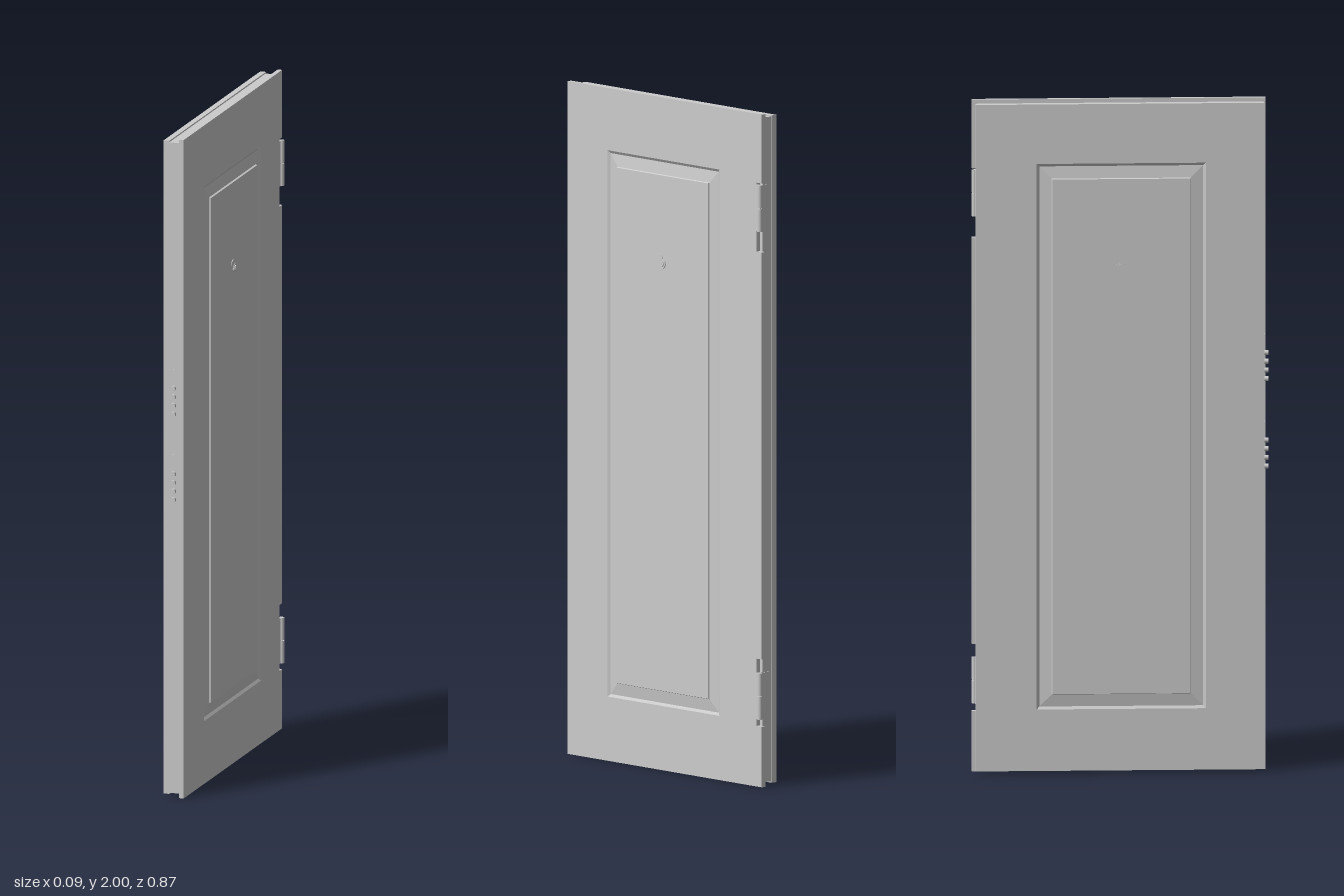
import * as THREE from 'three';

const grey = new THREE.MeshStandardMaterial({ color: 0xcccccc, side: THREE.DoubleSide });
const PANEL = { y: 1.003, w: 0.249, h: 0.812 };

function add(parent, name, geometry, x = 0, y = 0, z = 0) {
  const mesh = new THREE.Mesh(geometry, grey);
  mesh.name = name;
  mesh.position.set(x, y, z);
  parent.add(mesh);
  return mesh;
}

// Box given by its lower and upper corners
function boxBetween(parent, name, [x0, y0, z0], [x1, y1, z1]) {
  return add(parent, name, new THREE.BoxGeometry(x1 - x0, y1 - y0, z1 - z0),
    (x0 + x1) / 2, (y0 + y1) / 2, (z0 + z1) / 2);
}

// Flat door skin with a rectangular opening for the raised panel
function skinGeometry(outline, depth) {
  const shape = new THREE.Shape(outline.map(p => new THREE.Vector2(...p)));
  const { y, w, h } = PANEL;
  shape.holes.push(new THREE.Path([[-w, y - h], [-w, y + h], [w, y + h], [w, y - h]]
    .map(p => new THREE.Vector2(...p))));
  return new THREE.ExtrudeGeometry(shape, { depth, bevelEnabled: false });
}

// Raised panel: nested rectangles [inset, height] joined by sloping strips
function panelGeometry(rings) {
  const pos = [];
  const corners = rings.map(([inset, d]) => {
    const w = PANEL.w - inset, h = PANEL.h - inset;
    return [[-w, -h, d], [w, -h, d], [w, h, d], [-w, h, d]];
  });
  const quad = (a, b, c, d) => pos.push(...a, ...b, ...c, ...a, ...c, ...d);
  for (let i = 0; i < corners.length - 1; i++) {
    for (let k = 0; k < 4; k++) {
      const n = (k + 1) % 4;
      quad(corners[i][k], corners[i][n], corners[i + 1][n], corners[i + 1][k]);
    }
  }
  quad(...corners[corners.length - 1]);
  const geometry = new THREE.BufferGeometry();
  geometry.setAttribute('position', new THREE.Float32BufferAttribute(pos, 3));
  geometry.computeVertexNormals();
  return geometry;
}

// Short cylinder lying along x
function disc(parent, name, radius, x0, x1, y, z) {
  const g = new THREE.CylinderGeometry(radius, radius, Math.abs(x1 - x0), 20).rotateZ(Math.PI / 2);
  return add(parent, name, g, (x0 + x1) / 2, y, z);
}

function makeHinge(yMid) {
  const hinge = new THREE.Group();
  hinge.name = 'hinge';
  for (const s of [-1, 1]) {
    add(hinge, 'hingeKnuckle', new THREE.CylinderGeometry(0.008, 0.008, 0.068, 16), 0.033, yMid + s * 0.035, -0.429);
  }
  boxBetween(hinge, 'hingeLeaf', [-0.005, yMid - 0.069, -0.427], [0.033, yMid + 0.069, -0.422]);
  boxBetween(hinge, 'hingeFlange', [0.026, yMid - 0.069, -0.43], [0.033, yMid + 0.069, -0.412]);
  return hinge;
}

function makeLock(yMid) {
  const lock = new THREE.Group();
  lock.name = 'lock';
  boxBetween(lock, 'lockPlate', [-0.011, yMid - 0.1, 0.415], [0.011, yMid + 0.1, 0.4225]);
  for (let i = 0; i < 4; i++) {
    const bolt = new THREE.CylinderGeometry(0.0075, 0.0075, 0.02, 16).rotateX(Math.PI / 2);
    add(lock, 'lockBolt', bolt, 0, yMid - 0.035 + i * 0.026, 0.424);
  }
  return lock;
}

export function createModel() {
  const door = new THREE.Group();
  door.name = 'door';

  // Core between the two skins
  boxBetween(door, 'core', [-0.015, 0.012, -0.424], [0.018, 1.988, 0.421]);

  // Outer skin overhangs the core and is notched around the hinges
  const edge = 0.437, cut = 0.413;
  const notched = [[-0.427, 0], [edge, 0]];
  for (const [low, high] of [[0.18, 0.38], [1.59, 1.795]]) {
    notched.push([edge, low], [cut, low], [cut, high], [edge, high]);
  }
  notched.push([edge, 2], [-0.427, 2]);
  const outer = add(door, 'outerSkin', skinGeometry(notched, 0.014), 0.018);
  outer.rotation.y = Math.PI / 2;

  // Inner skin
  const plain = [[-0.428, 0.008], [0.419, 0.008], [0.419, 1.992], [-0.428, 1.992]];
  const inner = add(door, 'innerSkin', skinGeometry(plain, 0.018), -0.015);
  inner.rotation.y = -Math.PI / 2;

  // Raised panel and peephole on both faces
  const rings = [[0, 0.0325], [0.008, 0.027], [0.044, 0.032], [0.046, 0.0375]];
  for (const s of [1, -1]) {
    const panel = add(door, 'raisedPanel', panelGeometry(rings), 0, PANEL.y, 0);
    panel.rotation.y = s * Math.PI / 2;
    disc(door, 'peepholeRim', 0.014, s * 0.036, s * 0.041, 1.507, -0.002);
    disc(door, 'peepholeLens', 0.009, s * 0.04, s * 0.044, 1.507, -0.002);
  }
  // Swinging peephole cover
  disc(door, 'peepholeCover', 0.013, 0.036, 0.0395, 1.523, 0.011);

  door.add(makeHinge(1.72), makeHinge(0.27));
  door.add(makeLock(1.2), makeLock(0.94));
  return door;
}
